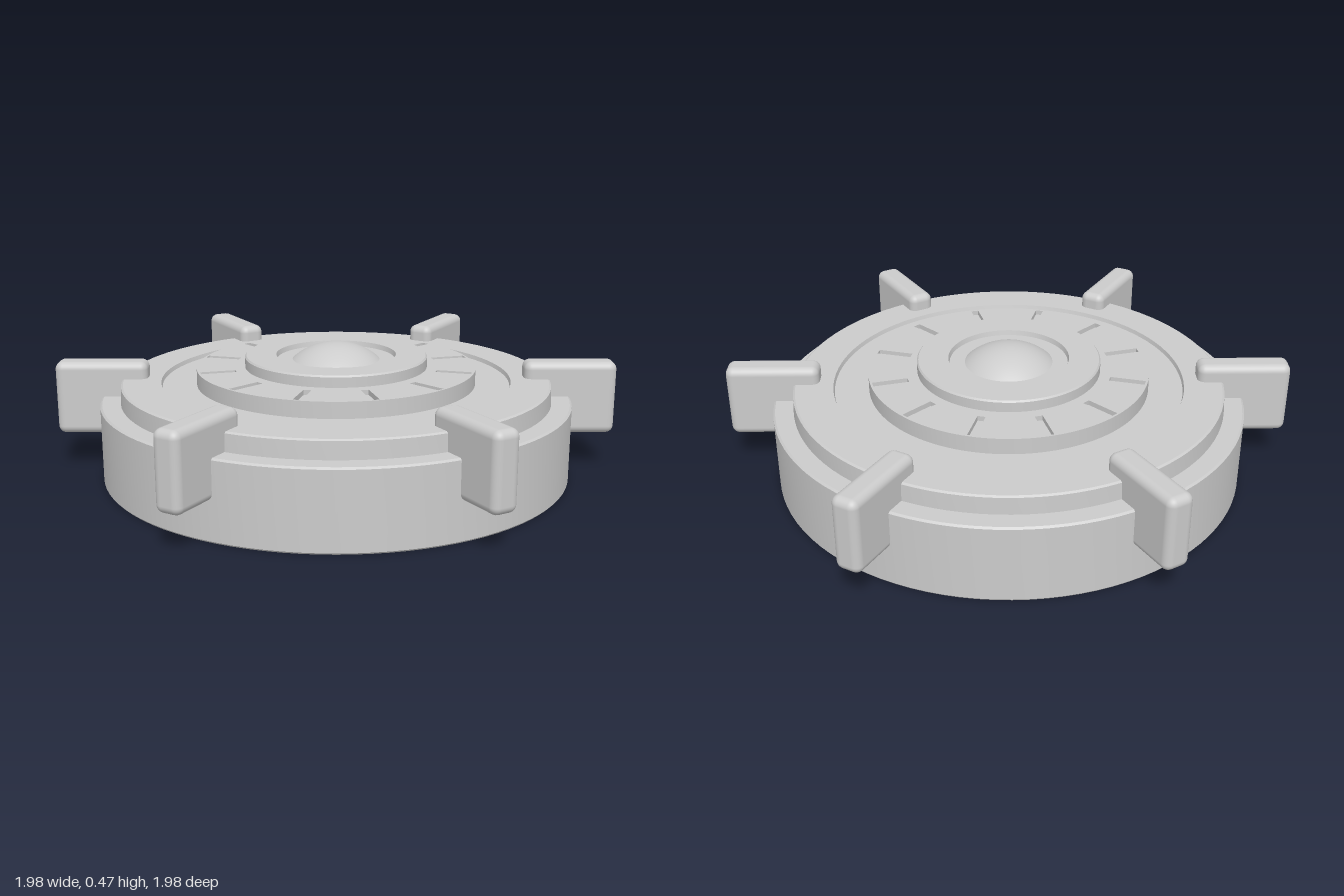
import * as THREE from 'three';
import { toCreasedNormals } from 'three/addons/utils/BufferGeometryUtils.js';
import { RoundedBoxGeometry } from 'three/addons/geometries/RoundedBoxGeometry.js';

const material = new THREE.MeshStandardMaterial({ color: 0xcccccc });

function part(name, geometry) {
  const mesh = new THREE.Mesh(geometry, material);
  mesh.name = name;
  return mesh;
}

// Turned solid from [radius, height] pairs, with crisp step edges
function turned(name, points) {
  const profile = points.map(([r, y]) => new THREE.Vector2(r, y));
  return part(name, toCreasedNormals(new THREE.LatheGeometry(profile, 96), 0.5));
}

// Flat ring pierced by radial slots
function slottedRing() {
  const shape = new THREE.Shape();
  shape.absarc(0, 0, 0.505, 0, Math.PI * 2, false);
  const bore = new THREE.Path();
  bore.absarc(0, 0, 0.3, 0, Math.PI * 2, true);
  shape.holes.push(bore);
  for (let i = 0; i < 12; i++) {
    const a = (i * Math.PI) / 6;
    const corners = [[0.37, -0.014], [0.37, 0.014], [0.497, 0.014], [0.497, -0.014]];
    shape.holes.push(new THREE.Path(corners.map(([r, t]) => new THREE.Vector2(
      r * Math.cos(a) - t * Math.sin(a),
      r * Math.sin(a) + t * Math.cos(a)))));
  }
  const geometry = new THREE.ExtrudeGeometry(shape, { depth: 0.068, bevelEnabled: false, curveSegments: 96 });
  geometry.rotateX(-Math.PI / 2).translate(0, 0.32, 0);
  return part('slottedRing', toCreasedNormals(geometry, 0.5));
}

export function createModel() {
  const model = new THREE.Group();
  model.name = 'steppedDisc';

  // Base drum, raised rim and the recessed floor inside it
  model.add(turned('baseDrum', [
    [0, 0], [0.845, 0], [0.85, 0.006], [0.85, 0.274], [0.843, 0.28],
    [0.778, 0.28], [0.775, 0.34], [0.768, 0.345],
    [0.632, 0.345], [0.628, 0.33], [0.5, 0.33], [0.5, 0.37], [0, 0.37],
  ]));
  model.add(slottedRing());

  // Raised hub with a shallow well around the dome
  model.add(turned('hub', [
    [0.33, 0.36], [0.33, 0.424], [0.325, 0.43], [0.217, 0.43], [0.213, 0.412], [0, 0.412],
  ]));

  // Shallow spherical cap
  const capRadius = 0.16, capHeight = 0.062;
  const r = (capRadius ** 2 + capHeight ** 2) / (2 * capHeight);
  const dome = part('dome', new THREE.SphereGeometry(r, 64, 16, 0, Math.PI * 2, 0, Math.asin(capRadius / r)));
  dome.position.y = 0.472 - r;
  model.add(dome);

  // Six rounded lugs standing out of the rim
  const lugs = new THREE.Group();
  lugs.name = 'lugs';
  const lugGeometry = new RoundedBoxGeometry(0.335, 0.267, 0.096, 4, 0.028);
  lugGeometry.translate(0.85, 0.272, 0);
  for (let i = 0; i < 6; i++) {
    const lug = part('lug', lugGeometry);
    lug.rotation.y = -Math.PI / 12 - (i * Math.PI) / 3;
    lugs.add(lug);
  }
  model.add(lugs);

  return model;
}
